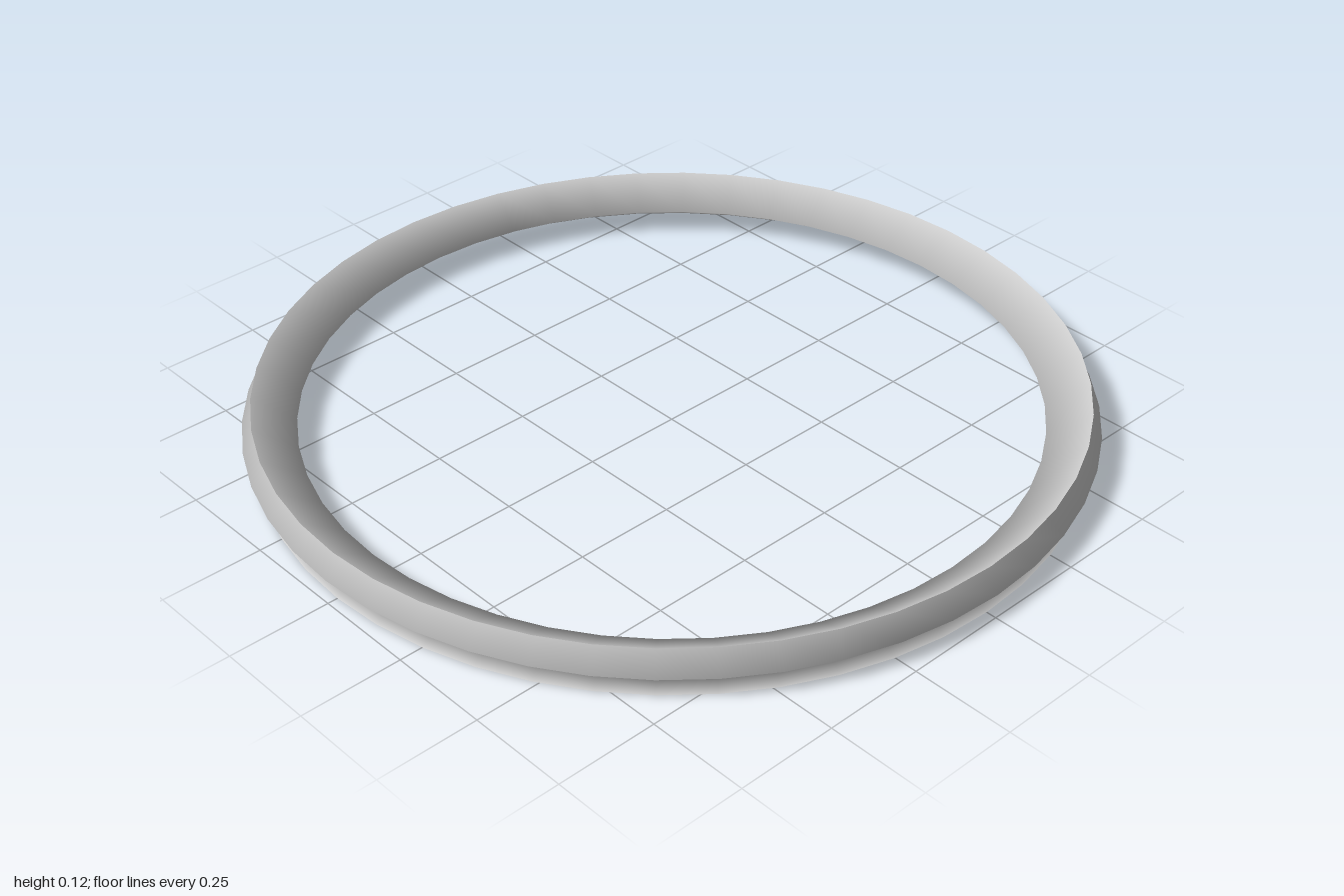
import * as THREE from 'three';

const SEGMENTS = 48;

// Smooth surface of revolution through [radius, height] points.
function band(name, profile, material) {
  const points = profile.map(([r, y]) => new THREE.Vector2(r, y));
  const mesh = new THREE.Mesh(new THREE.LatheGeometry(points, SEGMENTS), material);
  mesh.name = name;
  return mesh;
}

export function createModel() {
  const material = new THREE.MeshStandardMaterial({ color: 0xcccccc });
  const ring = new THREE.Group();
  ring.name = 'ring';

  // Outer side: a pointed rib between two thin flared lips
  ring.add(band('outerRib', [
    [0.975, 0], [0.945, 0.023], [1, 0.062], [0.945, 0.101], [0.975, 0.124],
  ], material));

  // Inner side: two funnels meeting at the narrow middle
  ring.add(band('innerFunnel', [
    [0.975, 0.124], [0.873, 0.062], [0.975, 0],
  ], material));

  return ring;
}
